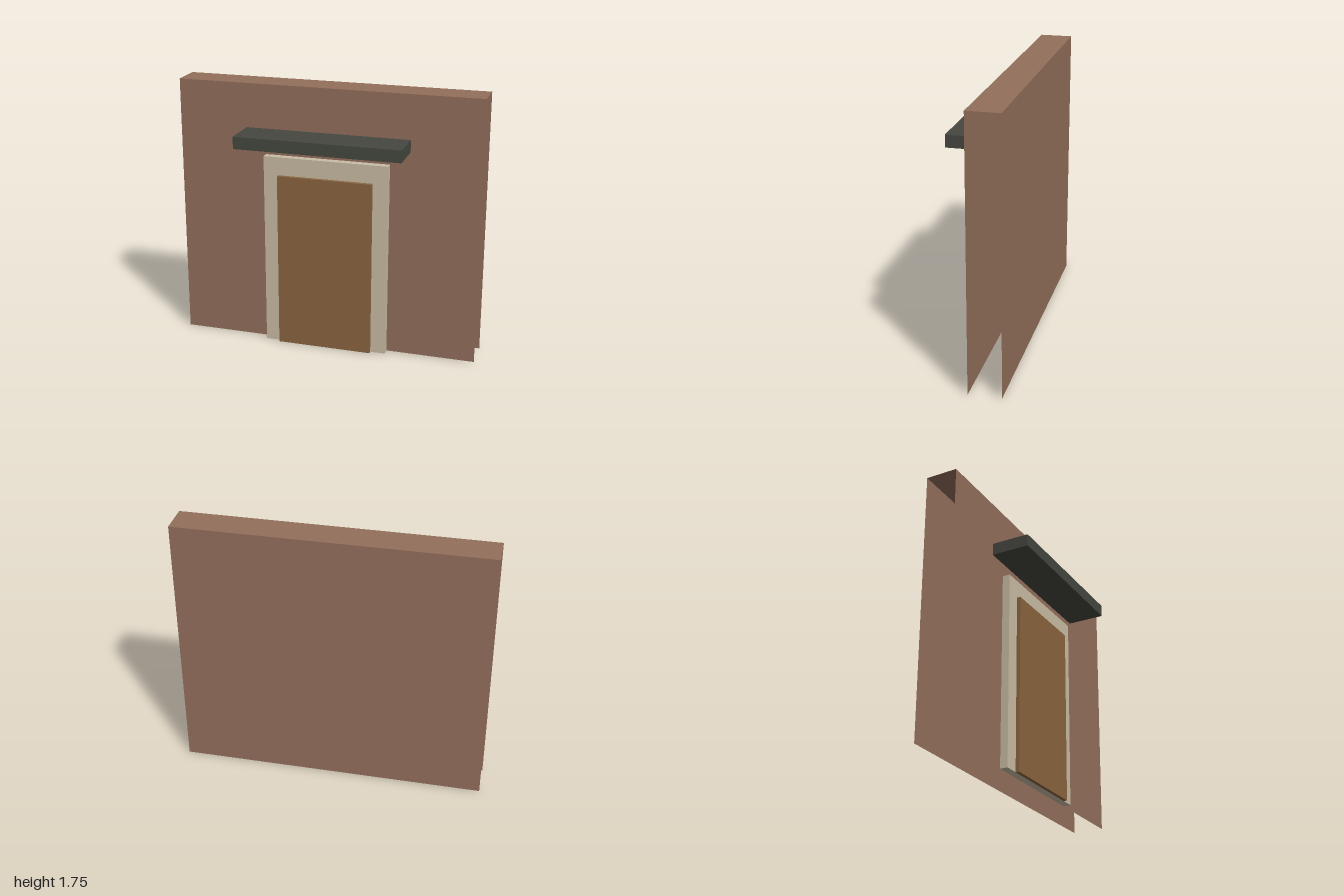
import * as THREE from 'three';

const brick = new THREE.MeshStandardMaterial({ color: 0x936f5b, side: THREE.DoubleSide });
brick.name = 'brick brown';
const cream = new THREE.MeshStandardMaterial({ color: 0xc9bda4 });
cream.name = 'cream';
const wood = new THREE.MeshStandardMaterial({ color: 0x8b6640 });
wood.name = 'door wood';
const slate = new THREE.MeshStandardMaterial({ color: 0x454740 });
slate.name = 'dark slate';

const WIDTH = 2, HEIGHT = 1.75, BACK = -0.23, FRONT = -0.02;

// Box centred on x, given by its y and z ranges
function block(name, material, width, y0, y1, z0, z1) {
  const mesh = new THREE.Mesh(new THREE.BoxGeometry(width, y1 - y0, z1 - z0), material);
  mesh.position.set(0, (y0 + y1) / 2, (z0 + z1) / 2);
  mesh.name = name;
  return mesh;
}

// Thin wall sheet
function sheet(name, height, y, z, rx, ry) {
  const mesh = new THREE.Mesh(new THREE.PlaneGeometry(WIDTH, height), brick);
  mesh.position.set(0, y, z);
  mesh.rotation.set(rx, ry, 0);
  mesh.name = name;
  return mesh;
}

export function createModel() {
  const model = new THREE.Group();
  model.name = 'doorway';

  // Hollow wall, open at both ends and underneath
  const wall = new THREE.Group();
  wall.name = 'wall';
  wall.add(
    sheet('wallFront', HEIGHT, HEIGHT / 2, FRONT, 0, 0),
    sheet('wallBack', HEIGHT, HEIGHT / 2, BACK, 0, Math.PI),
    sheet('wallTop', FRONT - BACK, HEIGHT, (FRONT + BACK) / 2, -Math.PI / 2, 0)
  );

  // Door surround, door leaf and canopy, just clear of the wall sheet
  const face = FRONT + 0.001;
  model.add(
    wall,
    block('doorFrame', cream, 0.826, 0, 1.29, face, 0.031),
    block('door', wood, 0.63, 0, 1.17, 0.031, 0.055),
    block('canopy', slate, 1.086, 1.38, 1.46, face, 0.23)
  );
  return model;
}
